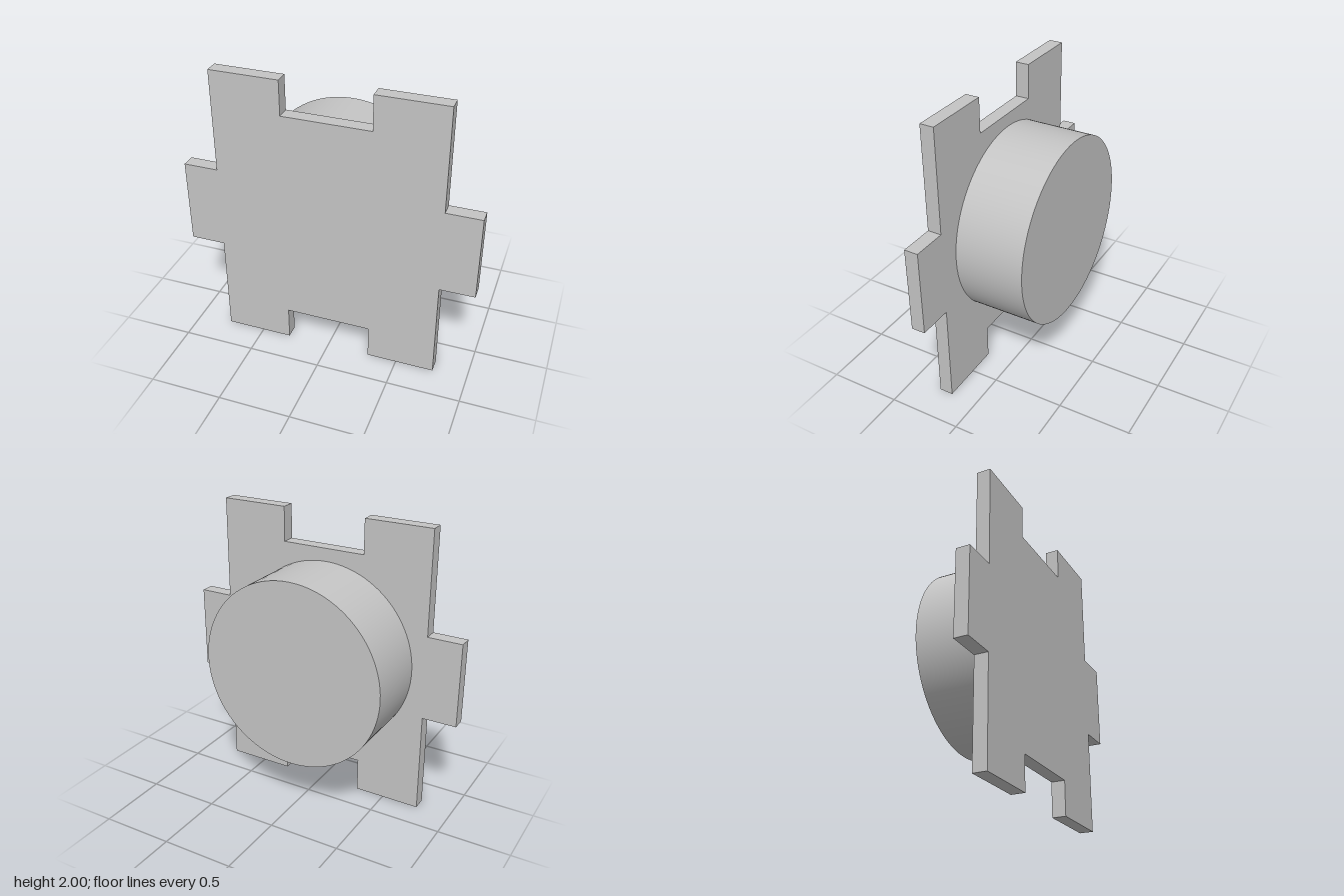
import * as THREE from 'three';

export function createModel() {
  const group = new THREE.Group();
  const grey = new THREE.MeshStandardMaterial({ color: 0xc4c4c4 });
  grey.name = 'light grey';

  const back = -0.283, plateBack = 0.189, front = 0.283;

  // Flat plate with side tabs and notches at top and bottom:
  // one quarter outline, mirrored around the centre
  const side = 0.763, notch = 0.296, tab = 0.293, step = 0.763;
  const quarter = [[1, 0], [1, tab], [side, tab], [side, 1], [notch, 1], [notch, step]];
  const right = quarter.slice(1);
  const flip = (pts, sx, sy) => pts.map(([x, y]) => [x * sx, y * sy]);
  const outline = [
    ...right,
    ...flip(right, -1, 1).reverse(),
    ...flip(right, -1, -1),
    ...flip(right, 1, -1).reverse(),
  ].map(([x, y]) => new THREE.Vector2(x, y + 1));
  const plateGeometry = new THREE.ExtrudeGeometry(new THREE.Shape(outline), {
    depth: front - plateBack, bevelEnabled: false,
  });
  const plate = new THREE.Mesh(plateGeometry, grey);
  plate.name = 'notchedPlate';
  plate.position.z = plateBack;
  group.add(plate);

  // Round boss on the back, slightly off centre
  const bossGeometry = new THREE.CylinderGeometry(0.646, 0.646, plateBack - back, 96);
  bossGeometry.rotateX(Math.PI / 2);
  const boss = new THREE.Mesh(bossGeometry, grey);
  boss.name = 'roundBoss';
  boss.position.set(-0.023, 1.028, (plateBack + back) / 2);
  group.add(boss);

  return group;
}
